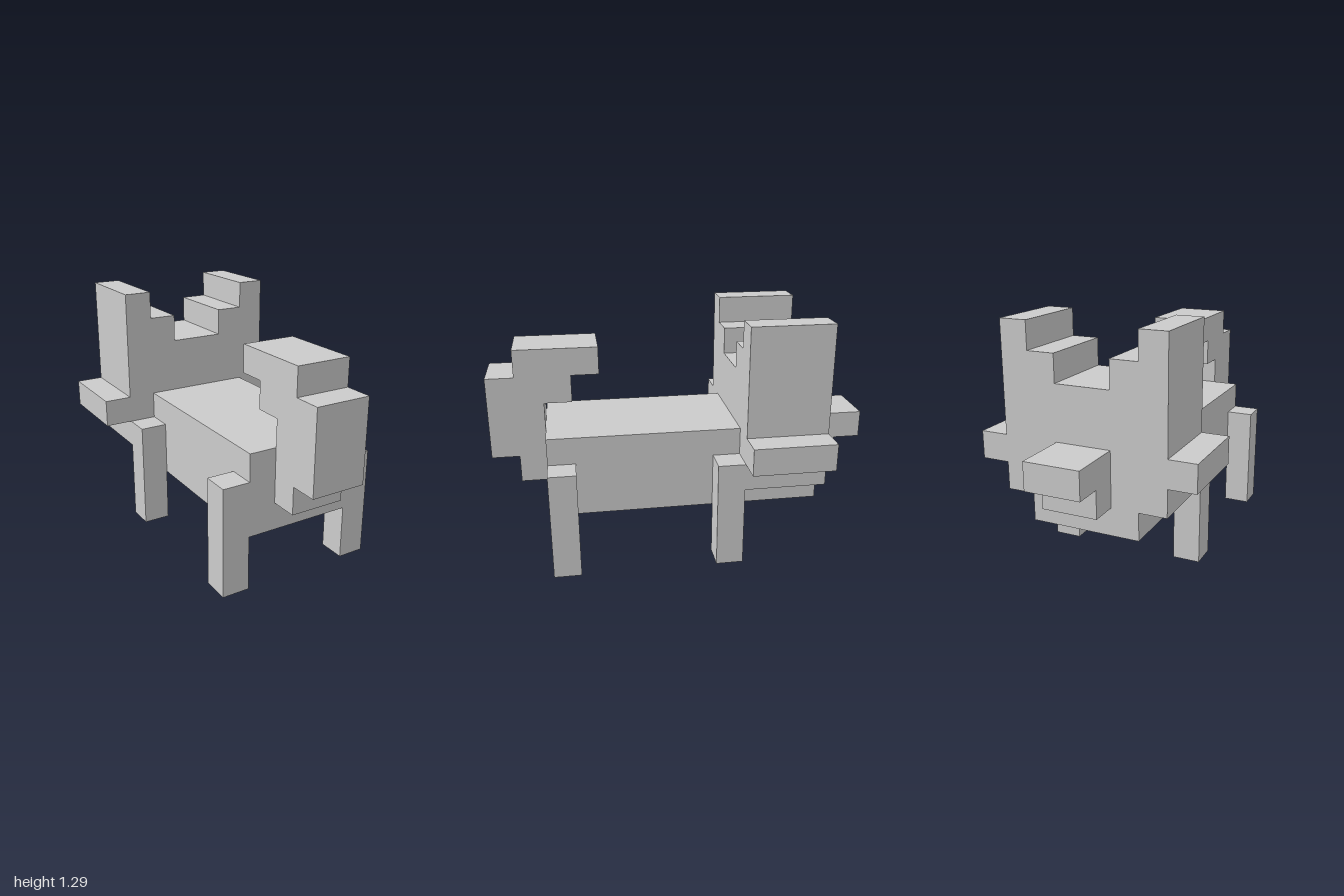
import * as THREE from 'three';

const U = 1 / 7; // one grid block

export function createModel() {
  const model = new THREE.Group();
  model.name = 'blockyFox';
  const material = new THREE.MeshStandardMaterial({ color: 0xcccccc, flatShading: true });

  const add = (name, geometry) => {
    const mesh = new THREE.Mesh(geometry.scale(U, U, U), material);
    mesh.name = name;
    model.add(mesh);
  };

  // Box from its min and max corners, in blocks
  const box = (name, [x0, y0, z0], [x1, y1, z1]) =>
    add(name, new THREE.BoxGeometry(x1 - x0, y1 - y0, z1 - z0)
      .translate((x0 + x1) / 2, (y0 + y1) / 2, (z0 + z1) / 2));

  const extrude = (points, depth) => new THREE.ExtrudeGeometry(
    new THREE.Shape(points.map(([a, b]) => new THREE.Vector2(a, b))),
    { depth, bevelEnabled: false });

  // Side outline in (z, y), two blocks wide and centred on x
  const sideProfile = (name, points) =>
    add(name, extrude(points, 2).translate(0, 0, -1).rotateY(-Math.PI / 2));

  // Body
  box('body', [-2, 2, -2], [2, 5, 5]);

  // Head slab: stepped jaw, cheeks and tall ears, mirrored about x = 0
  const half = [[2, 2], [2, 3], [3, 3], [3, 4], [4, 4], [4, 5], [3, 5],
    [3, 9], [2, 9], [2, 8], [1, 8], [1, 7]];
  const mirrored = half.map(([x, y]) => [-x, y]).reverse();
  add('head', extrude([...half, ...mirrored], 3).translate(0, 0, -5));

  // Snout with a shorter lower jaw
  sideProfile('snout', [[-5, 3], [-5, 5], [-7, 5], [-7, 4], [-6, 4], [-6, 3]]);

  // Tail curling up and back over the body
  sideProfile('tail', [[5, 3], [6, 3], [6, 4], [7, 4], [7, 7], [6, 7], [6, 8],
    [3, 8], [3, 7], [4, 7], [4, 6], [5, 6]]);

  // Legs on the outside of the body
  for (const [side, x] of [['left', 2], ['right', -3]]) {
    box(`${side}HeadEndLeg`, [x, 0, -2], [x + 1, 4, -1]);
    box(`${side}TailEndLeg`, [x, 0, 4], [x + 1, 4, 5]);
  }

  return model;
}
